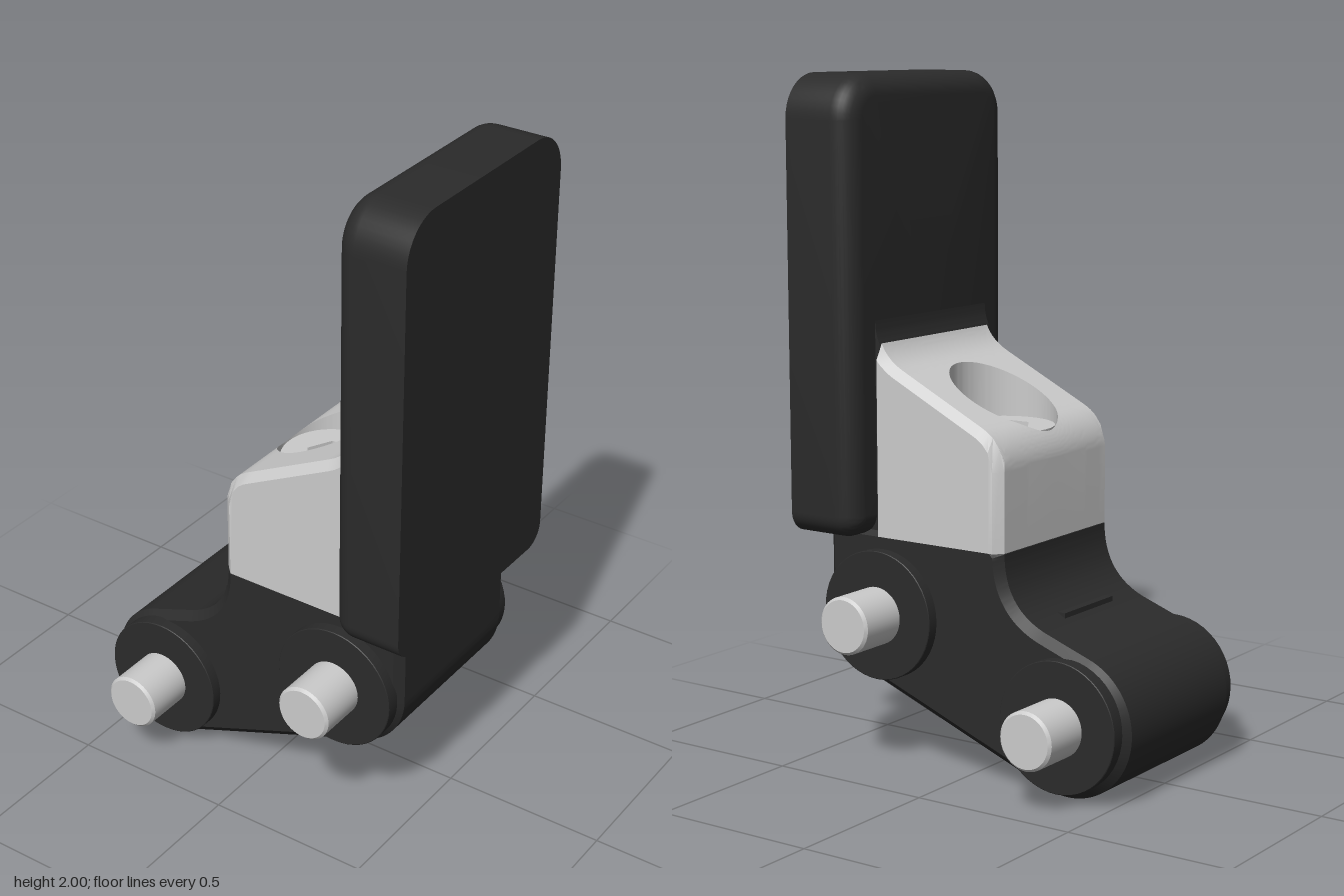
import * as THREE from 'three';
import { toCreasedNormals } from 'three/addons/utils/BufferGeometryUtils.js';

const steel = new THREE.MeshStandardMaterial({ color: 0xcccccc });
const black = new THREE.MeshStandardMaterial({ color: 0x2b2b2b });

function part(name, geometry, material, crease = 0.5) {
  const mesh = new THREE.Mesh(toCreasedNormals(geometry, crease), material);
  mesh.name = name;
  return mesh;
}

// Skins a list of closed rings that all have the same number of points
function skin(rows) {
  const n = rows[0].length, index = [];
  for (let j = 0; j < rows.length - 1; j++) {
    for (let i = 0; i < n; i++) {
      const k = (i + 1) % n, a = j * n, b = a + n;
      index.push(a + i, b + i, a + k, b + i, b + k, a + k);
    }
  }
  const g = new THREE.BufferGeometry();
  g.setAttribute('position', new THREE.Float32BufferAttribute(rows.flat(2), 3));
  g.setIndex(index);
  return g;
}

// Clamp block: sloped top with a rounded shoulder, a concave fillet and chamfered edges
const HALF = 0.285, BEVEL = 0.025, LEFT = -0.125, RIGHT = 0.305, BASE = 0.67;
const SIN = 0.4472, COS = 0.8944;
function topHeight(x, inset = 0) {
  const R = 0.13 - inset, r = 0.15 + inset;
  if (x < 0.005 - R * SIN) return 0.902 + Math.sqrt(Math.max(0, R * R - (x - 0.005) ** 2));
  if (x > 0.17 + r * SIN) return 1.298 - Math.sqrt(Math.max(0, r * r - (x - 0.17) ** 2));
  return 1.045 + 0.5 * x - inset / COS;
}

const BORE = { x: 0.06, r: 0.158 };
function clampBlock() {
  const corners = [[LEFT, HALF - BEVEL], [LEFT + BEVEL, HALF], [RIGHT, HALF], [RIGHT, HALF - BEVEL]];
  const angles = [];
  for (let i = 0; i < 120; i++) angles.push(-Math.PI + (i * Math.PI) / 60 + 0.001);
  for (const [x, z] of corners) {
    const a = Math.atan2(z, x - BORE.x);
    angles.push(a, -a);
  }
  angles.sort((a, b) => a - b);

  // Distance from the bore axis to the plan outline along one direction
  const reach = (a, half, cut) => {
    const c = Math.cos(a), s = Math.abs(Math.sin(a));
    let d = Math.min(c > 0 ? (RIGHT - BORE.x) / c : (LEFT - BORE.x) / c, half / Math.max(s, 1e-6));
    if (cut && s - c > 0) d = Math.min(d, (BORE.x - LEFT + HALF - BEVEL) / (s - c));
    return d;
  };
  const ring = (radius, height) => angles.map((a) => {
    const d = radius(a), x = BORE.x + d * Math.cos(a), z = d * Math.sin(a);
    return [x, height ?? topHeight(x, Math.max(0, Math.abs(z) - HALF + BEVEL)), z];
  });
  const outer = (a) => reach(a, HALF, true);
  const rows = [ring(outer, BASE), ring(outer)];
  const steps = 16;
  for (let k = 0; k <= steps; k++) {
    const t = (k / steps) ** 2;
    rows.push(ring((a) => THREE.MathUtils.lerp(
      Math.min(reach(a, HALF - BEVEL, false), outer(a)), BORE.r, t)));
  }
  rows.push(ring(() => BORE.r, 0.85), ring(() => 0, 0.85));
  return skin(rows);
}

// Pad: rounded plate, soft on the inner face and sharp on the outer face
function padGeometry() {
  const soft = 0.065;
  const ring = (x, inset, scale = 1) => {
    const points = [];
    [[1, 1, 0.13], [-1, 1, 0.13], [-1, -1, soft], [1, -1, soft]].forEach(([sz, sy, r], q) => {
      for (let i = 0; i <= 10; i++) {
        const a = (q + i / 10) * Math.PI / 2;
        const z = sz * (0.385 - r) + (r - inset) * Math.cos(a);
        const y = sy * (0.665 - r) + (r - inset) * Math.sin(a);
        points.push([x, 1.335 + y * scale, z * scale]);
      }
    });
    return points;
  };
  const rows = [ring(0.32, soft, 0)];
  for (let i = 0; i <= 8; i++) {
    const a = (i / 8) * Math.PI / 2;
    rows.push(ring(0.32 + soft * (1 - Math.cos(a)), soft * (1 - Math.sin(a))));
  }
  rows.push(ring(0.545, 0), ring(0.545, 0, 0));
  return skin(rows);
}

// Link body: two rounded ends joined by a slanted arm, with a neck under the block
function bodyGeometry() {
  const s = new THREE.Shape();
  const tilt = THREE.MathUtils.degToRad(70);
  s.absarc(0.287, 0.445, 0.205, 0, -tilt, true);
  s.absarc(-0.34, 0.21, 0.21, -tilt, Math.PI - tilt, true);
  s.lineTo(-0.27, 0.459);
  s.quadraticCurveTo(-0.125, 0.512, -0.125, 0.668);
  s.lineTo(-0.1, 0.695);
  s.lineTo(0.492, 0.695);
  const g = new THREE.ExtrudeGeometry(s, {
    depth: 2 * (HALF - BEVEL), curveSegments: 32, bevelEnabled: true, bevelSegments: 1,
    bevelSize: BEVEL, bevelThickness: BEVEL, bevelOffset: -BEVEL,
  });
  return g.translate(0, 0, -(HALF - BEVEL));
}

// Solid of revolution along z with slightly chamfered ends
function rod(radius, half, c) {
  const profile = [[0, -half], [radius - c, -half], [radius, c - half],
    [radius, half - c], [radius - c, half], [0, half]].map(([x, y]) => new THREE.Vector2(x, y));
  return new THREE.LatheGeometry(profile, 48).rotateX(Math.PI / 2);
}

// Cap screw with a hexagonal socket and a conical socket floor
function screw() {
  const group = new THREE.Group();
  group.name = 'capScrew';
  const face = new THREE.Shape().absarc(0, 0, 0.15, 0, Math.PI * 2, false);
  const hex = [];
  for (let i = 0; i < 6; i++) {
    const a = (i * Math.PI) / 3 + 0.05;
    hex.push(new THREE.Vector2(0.083 * Math.cos(a), 0.083 * Math.sin(a)));
  }
  face.holes.push(new THREE.Path(hex));
  const head = new THREE.ExtrudeGeometry(face, { depth: 0.13, bevelEnabled: false, curveSegments: 32 });
  head.rotateX(-Math.PI / 2).translate(0, 0.855, 0);
  const floor = new THREE.LatheGeometry(
    [[0, 0.875], [0.072, 0.91], [0.09, 0.91]].map(([x, y]) => new THREE.Vector2(x, y)), 36);
  const floorMaterial = steel.clone();
  floorMaterial.side = THREE.DoubleSide;
  group.add(part('screwHead', head, steel), part('socketFloor', floor, floorMaterial));
  group.position.x = BORE.x;
  return group;
}

// Dark root of the fillet where the pad meets the block
function padRoot() {
  const s = new THREE.Shape();
  s.moveTo(0.34, BASE + 0.005);
  s.lineTo(0.34, 1.298);
  for (let i = 0; i <= 8; i++) {
    const x = 0.32 - 0.015 * (i / 8);
    s.lineTo(x, topHeight(x));
  }
  s.lineTo(RIGHT, BASE + 0.005);
  return new THREE.ExtrudeGeometry(s, { depth: 0.54, bevelEnabled: false }).translate(0, 0, -0.27);
}

export function createModel() {
  const model = new THREE.Group();
  model.name = 'clampLink';
  model.add(
    part('linkBody', bodyGeometry(), black),
    part('clampBlock', clampBlock(), steel),
    part('pad', padGeometry(), black),
    part('padRoot', padRoot(), black),
    screw(),
  );

  // Small step across the arm
  const step = part('armStep', new THREE.BoxGeometry(0.025, 0.03, 0.25), black);
  step.position.set(-0.2275, 0.472, 0);
  model.add(step);

  // Pivot pins with a washer on each side
  for (const [name, x, y] of [['lower', -0.34, 0.215], ['upper', 0.287, 0.445]]) {
    const pin = part(name + 'Pin', rod(0.085, 0.475, 0.008), steel);
    pin.position.set(x, y, 0);
    model.add(pin);
    for (const side of [-1, 1]) {
      const washer = part(name + 'Washer', rod(0.191, 0.0225, 0.002), black);
      washer.position.set(x, y, side * 0.2975);
      model.add(washer);
    }
  }
  return model;
}
